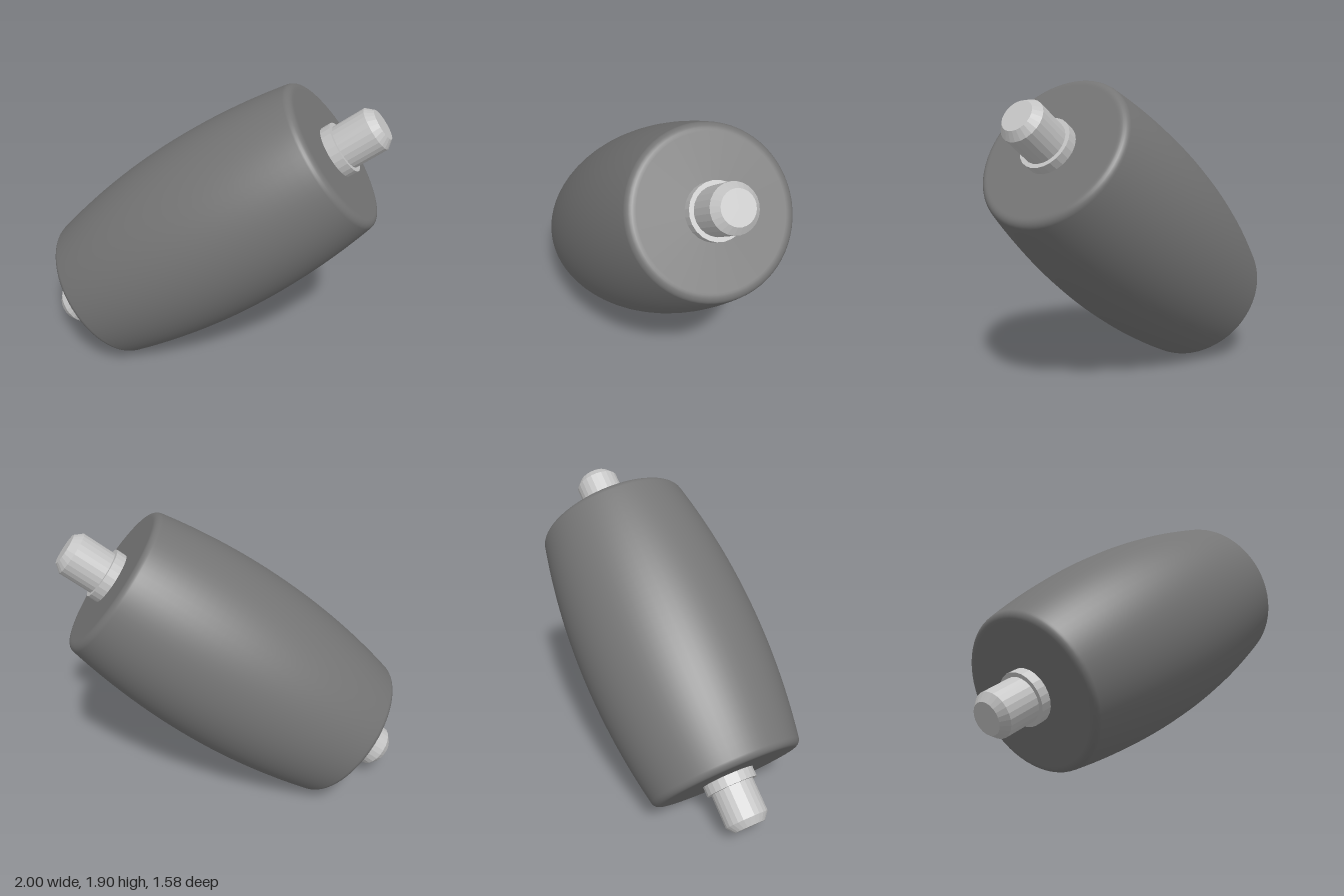
import * as THREE from 'three';

const rubber = new THREE.MeshStandardMaterial({ color: 0x757575 });
rubber.name = 'dark grey';
const metal = new THREE.MeshStandardMaterial({ color: 0xc4c4c4 });
metal.name = 'light grey';

// Lathe from [radius, height] pairs listed from bottom to top
function lathe(name, pairs, sides, material, flat) {
  let geometry = new THREE.LatheGeometry(pairs.map(([r, h]) => new THREE.Vector2(r, h)), sides);
  if (flat) {
    geometry = geometry.toNonIndexed();
    geometry.computeVertexNormals();
  }
  const mesh = new THREE.Mesh(geometry, material);
  mesh.name = name;
  return mesh;
}

// Upper half of the barrel: bulged wall, rounded rim, flat cap
function barrelProfile() {
  const rimR = 0.449, rimH = 0.895, fillet = 0.05, midR = 0.59, tilt = 0.2;
  const endR = rimR + fillet * Math.cos(tilt);
  const endH = rimH + fillet * Math.sin(tilt);
  const half = [];
  for (let i = 0; i < 14; i++) {
    const t = i / 14;
    half.push([midR - (midR - endR) * t * t, endH * t]);
  }
  for (let i = 0; i <= 6; i++) {
    const a = tilt + (Math.PI / 2 - tilt) * i / 6;
    half.push([rimR + fillet * Math.cos(a), rimH + fillet * Math.sin(a)]);
  }
  half.push([rimR - 0.01, rimH + fillet], [0, rimH + fillet]);
  const lower = half.slice(1).reverse().map(([r, h]) => [r, -h]);
  return [...lower, ...half];
}

export function createModel() {
  const roller = new THREE.Group();
  roller.name = 'roller';
  roller.add(lathe('barrel', barrelProfile(), 64, rubber, false));

  // Matching collar and chamfered shaft at each end
  for (const end of [1, -1]) {
    const axle = new THREE.Group();
    axle.name = end > 0 ? 'upperAxle' : 'lowerAxle';
    axle.add(
      lathe('collar', [[0.167, 0.935], [0.167, 1.01], [0.13, 1.01]], 24, metal, true),
      lathe('shaft', [[0.14, 0.935], [0.14, 1.225], [0.1, 1.272], [0, 1.272]], 24, metal, true)
    );
    if (end < 0) axle.rotation.x = Math.PI;
    roller.add(axle);
  }

  // Lean the whole roller along its diagonal axis
  const axis = new THREE.Vector3(0.708, 0.609, 0.358).normalize();
  roller.quaternion.setFromUnitVectors(new THREE.Vector3(0, 1, 0), axis);
  roller.position.y = 0.954;

  const model = new THREE.Group();
  model.name = 'model';
  model.add(roller);
  return model;
}
